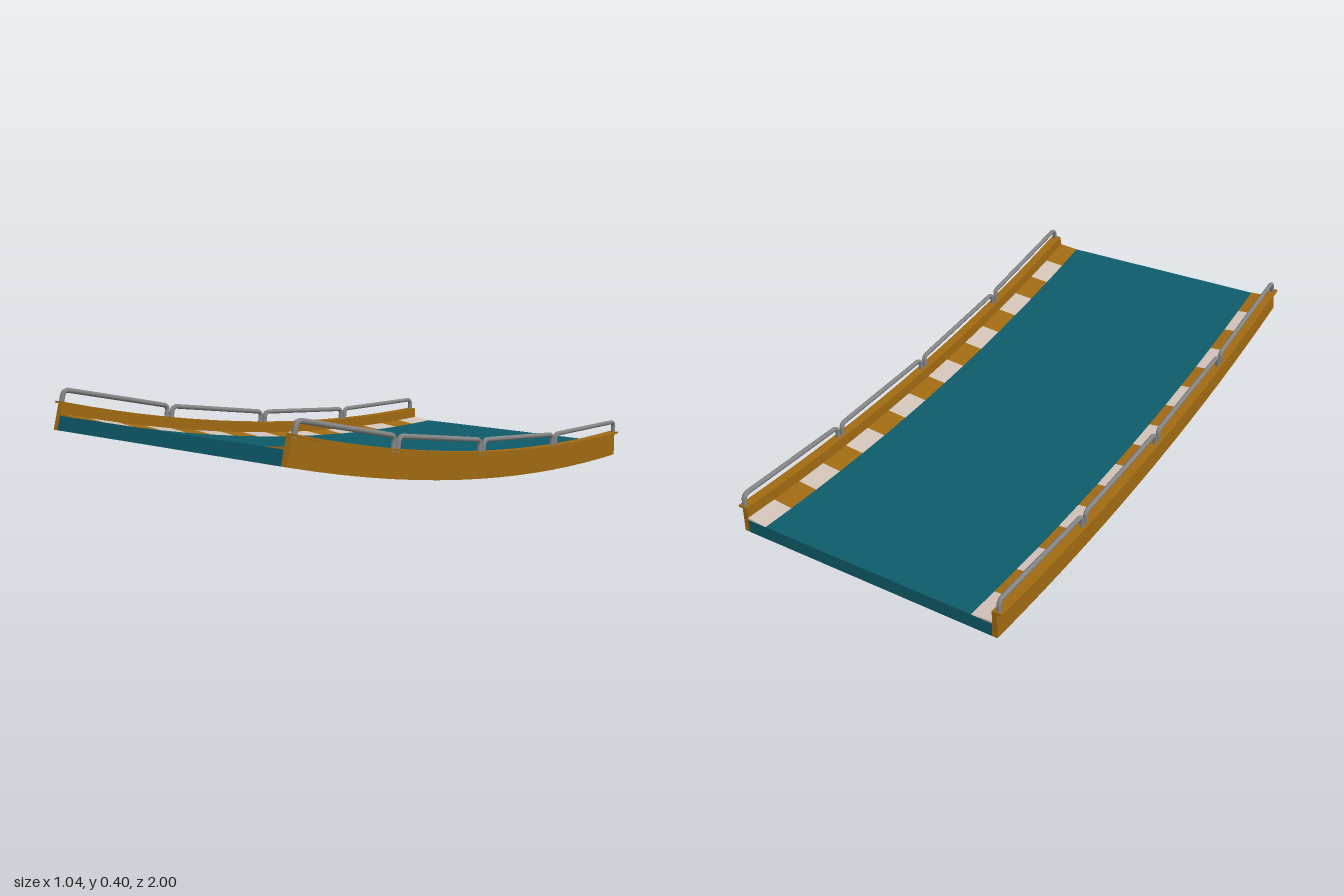
import * as THREE from 'three';
import { toCreasedNormals } from 'three/addons/utils/BufferGeometryUtils.js';

// The track follows an arc that is level at the back and climbs towards the front.
const ARC = 0.2635;
const RADIUS = 2 / Math.sin(ARC);
const STRIPES = 16;
const RAILS = 4;

const paint = (color) => new THREE.MeshStandardMaterial({ color });

// h = height above the underside, t = 0 (back) to 1 (front)
function onArc(x, h, t) {
  const r = RADIUS - h;
  return new THREE.Vector3(x, RADIUS - r * Math.cos(t * ARC), -1 + r * Math.sin(t * ARC));
}

// Sweep a cross-section of [x, h] points along part of the arc.
function sweep(section, t0, t1, steps) {
  const shape = new THREE.Shape(section.map(([x, h]) => new THREE.Vector2(x, h)));
  const geometry = new THREE.ExtrudeGeometry(shape, { depth: 1, steps, bevelEnabled: false });
  const pos = geometry.attributes.position;
  for (let i = 0; i < pos.count; i++) {
    const p = onArc(pos.getX(i), pos.getY(i), t0 + (t1 - t0) * pos.getZ(i));
    pos.setXYZ(i, p.x, p.y, p.z);
  }
  return toCreasedNormals(geometry, 0.2);
}

// Straight-topped guard rail with a post and a rounded bend at each end.
function railGeometry(x, t0, t1) {
  const foot = 0.085, top = 0.135, bend = 0.02;
  const a = onArc(x, foot, t0), b = onArc(x, top, t0);
  const c = onArc(x, top, t1), d = onArc(x, foot, t1);
  const towards = (from, to) => from.clone().add(to.clone().sub(from).setLength(bend));
  const path = new THREE.CurvePath();
  path.add(new THREE.LineCurve3(a, towards(b, a)));
  path.add(new THREE.QuadraticBezierCurve3(towards(b, a), b, towards(b, c)));
  path.add(new THREE.LineCurve3(towards(b, c), towards(c, b)));
  path.add(new THREE.QuadraticBezierCurve3(towards(c, b), c, towards(c, d)));
  path.add(new THREE.LineCurve3(towards(c, d), d));
  return new THREE.TubeGeometry(path, 72, 0.0085, 8, false);
}

export function createModel() {
  const group = new THREE.Group();
  const teal = paint(0x0e5b69);
  const orange = paint(0xa06a12);
  const cream = paint(0xd2c3b8);
  const metal = paint(0x858585);
  const add = (name, geometry, material, parent = group) => {
    const mesh = new THREE.Mesh(geometry, material);
    mesh.name = name;
    parent.add(mesh);
  };

  // Road deck
  add('deck', sweep([[-0.486, 0], [0.486, 0], [0.486, 0.048], [-0.486, 0.048]], 0, 1, STRIPES), teal);

  for (const [side, label] of [[1, 'left'], [-1, 'right']]) {
    const edge = new THREE.Group();
    edge.name = label + 'Edge';
    group.add(edge);
    const section = (points) => points.map(([x, h]) => [x * side, h]);

    // Side wall with a thin lip that overhangs outwards
    add(label + 'Wall', sweep(section([
      [0.486, 0], [0.505, 0], [0.505, 0.088], [0.522, 0.088], [0.522, 0.095], [0.486, 0.095],
    ]), 0, 1, STRIPES), orange, edge);

    // Striped kerb, rising gently to the wall
    const kerb = section([[0.41, 0.046], [0.486, 0.046], [0.486, 0.056], [0.41, 0.0485]]);
    for (let i = 0; i < STRIPES; i++) {
      add(label + 'KerbStripe', sweep(kerb, i / STRIPES, (i + 1) / STRIPES, 1), i % 2 ? orange : cream, edge);
    }

    // Guard rails
    const inset = 0.006;
    for (let i = 0; i < RAILS; i++) {
      add(label + 'GuardRail', railGeometry(0.505 * side, i / RAILS + inset, (i + 1) / RAILS - inset), metal, edge);
    }
  }
  return group;
}
